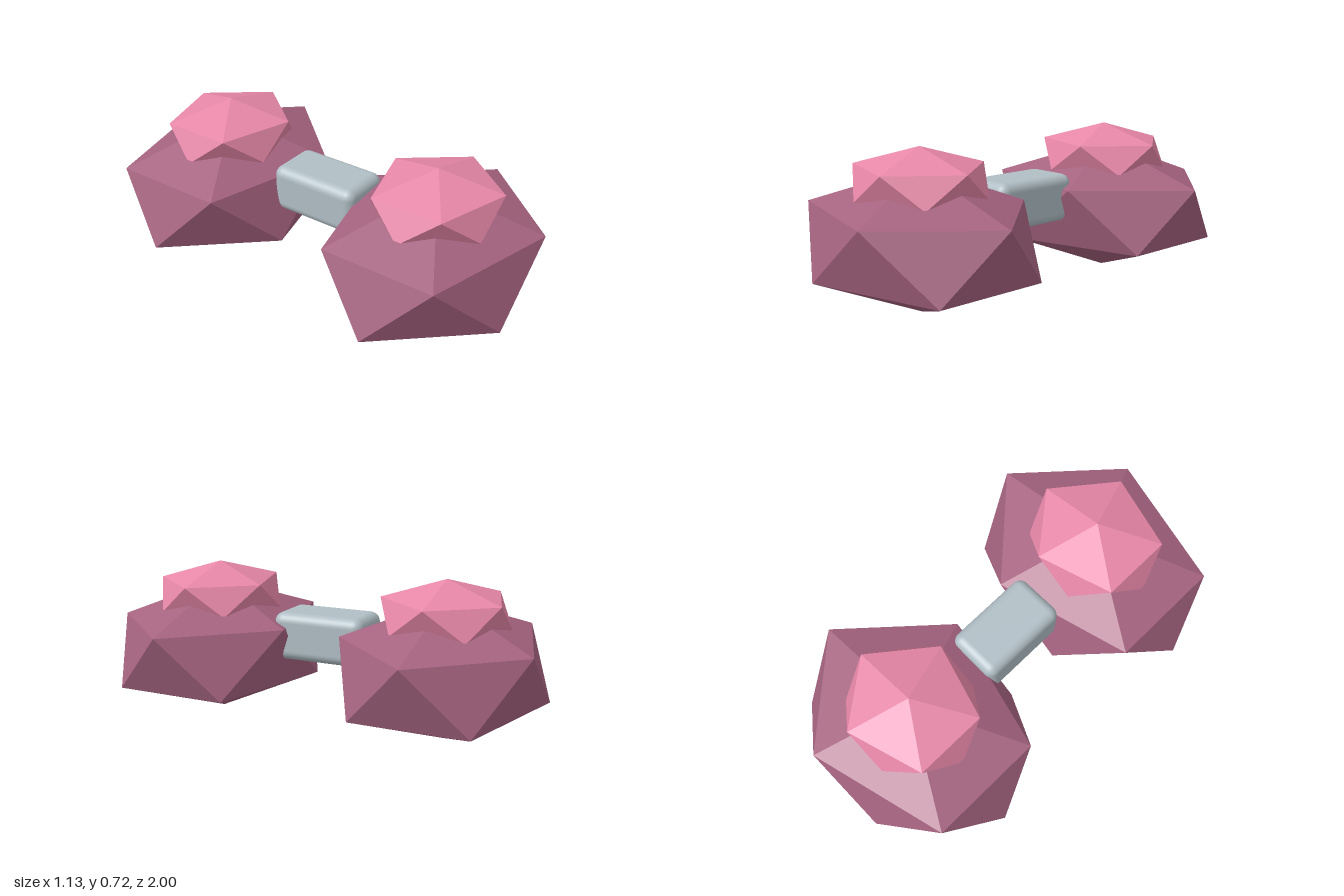
import * as THREE from 'three';
import { RoundedBoxGeometry } from 'three/addons/geometries/RoundedBoxGeometry.js';

// Icosahedron standing on a corner, with an upper-ring corner towards +x,
// then squashed to the three given radii. Its face normals are already flat.
function gemGeometry(rx, ry, rz) {
  const geometry = new THREE.IcosahedronGeometry(1, 0);
  geometry.rotateZ(-Math.atan(2 / (1 + Math.sqrt(5))));
  geometry.scale(rx, ry, rz);
  return geometry;
}

export function createModel() {
  const model = new THREE.Group();
  model.name = 'model';

  const darkPink = new THREE.MeshStandardMaterial({ color: 0xa5637f });
  darkPink.name = 'dark pink';
  const lightPink = new THREE.MeshStandardMaterial({ color: 0xf48fb1 });
  lightPink.name = 'light pink';
  const paleGrey = new THREE.MeshStandardMaterial({ color: 0xb0bec5 });
  paleGrey.name = 'pale blue grey';

  const add = (parent, name, geometry, material, y) => {
    const mesh = new THREE.Mesh(geometry, material);
    mesh.name = name;
    mesh.position.y = y;
    parent.add(mesh);
  };

  // Ring radius of the icosahedron is 2 / sqrt(5) of its corner radius
  const k = Math.sqrt(5) / 2;
  const bodyGeometry = gemGeometry(0.566 * k, 0.317, 0.453 * k);
  const capGeometry = gemGeometry(0.31 * k, 0.15, 0.283 * k);

  // Front and back lobes, each a wide body with a small cap
  for (const [name, side] of [['front', 1], ['back', -1]]) {
    const lobe = new THREE.Group();
    lobe.name = name + 'Lobe';
    lobe.position.z = side * 0.569;
    add(lobe, name + 'Body', bodyGeometry, darkPink, 0.318);
    add(lobe, name + 'Cap', capGeometry, lightPink, 0.572);
    model.add(lobe);
  }

  // Rounded bar joining the lobes
  add(model, 'bridge', new RoundedBoxGeometry(0.26, 0.22, 0.44, 4, 0.045), paleGrey, 0.415);

  return model;
}
